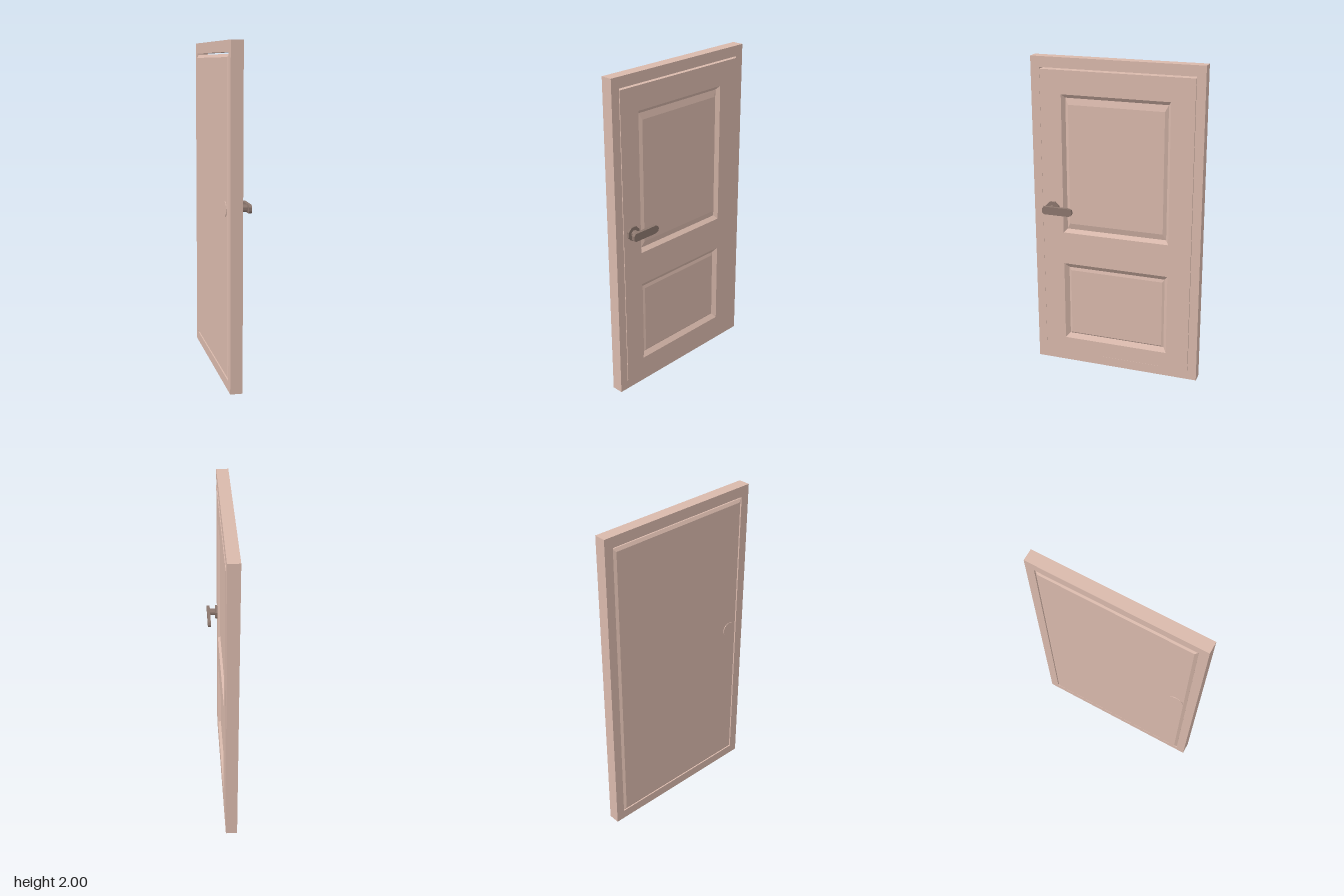
import * as THREE from 'three';

const wood = new THREE.MeshStandardMaterial({ color: 0xd9b9ac, flatShading: true });
const metal = new THREE.MeshStandardMaterial({ color: 0x8c776e, flatShading: true });

function mesh(name, geometry, material) {
  const m = new THREE.Mesh(geometry, material);
  m.name = name;
  return m;
}

// Rectangle outline as a list of corners, counter-clockwise
const rect = (u0, u1, y0, y1) => [[u0, y0], [u1, y0], [u1, y1], [u0, y1]];
const vec = (pts) => pts.map(([u, y]) => new THREE.Vector2(u, y));

// Plate with optional holes, running from depth d0 to d1
function plate(outline, holes, d0, d1) {
  const shape = new THREE.Shape(vec(outline));
  holes.forEach((h) => shape.holes.push(new THREE.Path(vec(h))));
  const g = new THREE.ExtrudeGeometry(shape, { depth: d1 - d0, bevelEnabled: false });
  return g.translate(0, 0, d0);
}

// Surface stepping through nested rectangles [u0, u1, y0, y1, depth], closed in the middle
function nestedRects(rings, flip = false) {
  const loops = rings.map(([u0, u1, y0, y1, d]) =>
    rect(u0, u1, y0, y1).map(([u, y]) => [u, y, d]));
  const pos = [];
  const quad = (a, b, c, d) => {
    const order = flip ? [a, c, b, a, d, c] : [a, b, c, a, c, d];
    order.forEach((p) => pos.push(...p));
  };
  for (let k = 0; k + 1 < loops.length; k++) {
    for (let i = 0; i < 4; i++) {
      const j = (i + 1) % 4;
      quad(loops[k][i], loops[k][j], loops[k + 1][j], loops[k + 1][i]);
    }
  }
  quad(...loops[loops.length - 1]);
  const g = new THREE.BufferGeometry();
  g.setAttribute('position', new THREE.Float32BufferAttribute(pos, 3));
  g.computeVertexNormals();
  return g;
}

// Cylinder whose axis runs through the door thickness
function disc(radius, d0, d1, sides) {
  const g = new THREE.CylinderGeometry(radius, radius, d1 - d0, sides);
  return g.rotateY(Math.PI / sides).rotateX(Math.PI / 2).translate(0, 0, (d0 + d1) / 2);
}

export function createModel() {
  const model = new THREE.Group();
  model.name = 'door';
  // Door is drawn facing +z, then turned so its panelled face looks along +x
  const door = new THREE.Group();
  door.name = 'doorAssembly';
  door.rotation.y = Math.PI / 2;
  model.add(door);

  // Surrounding frame
  door.add(mesh('frame', plate(rect(-0.537, 0.537, 0, 2),
    [rect(-0.482, 0.482, 0.06, 1.935)], -0.067, 0.005), wood));

  // Leaf with two panel openings
  const face = 0.008;
  const upper = [-0.345, 0.337, 0.9, 1.78];
  const lower = [-0.345, 0.337, 0.163, 0.69];
  door.add(mesh('leaf', plate(rect(-0.48, 0.48, 0.062, 1.925),
    [rect(...upper), rect(...lower)], -0.06, face), wood));

  // Chamfered flat back of the leaf
  const e = 0.018;
  door.add(mesh('leafBack', nestedRects([
    [-0.48, 0.48, 0.062, 1.925, -0.06],
    [-0.48 + e, 0.48 - e, 0.062 + e, 1.925 - e, -0.071],
  ], true), wood));

  // Sunken mouldings with raised fields
  door.add(mesh('upperPanel', nestedRects([
    [...upper, face],
    [-0.325, 0.318, 0.922, 1.757, -0.014],
    [-0.305, 0.298, 0.96, 1.717, -0.004],
  ]), wood));
  door.add(mesh('lowerPanel', nestedRects([
    [...lower, face],
    [-0.319, 0.314, 0.192, 0.66, -0.014],
    [-0.305, 0.3, 0.2, 0.64, -0.009],
  ]), wood));

  // Lever handle: plates on both faces, stem and lever
  const handle = new THREE.Group();
  handle.name = 'handle';
  handle.position.set(-0.412, 1.058, 0);
  handle.add(mesh('frontRosette', disc(0.045, 0.004, 0.022, 8), metal));
  handle.add(mesh('backRosette', disc(0.045, -0.075, -0.065, 16), wood));
  handle.add(mesh('stem', disc(0.022, 0.02, 0.058, 8), metal));
  const r = 0.025;
  const lever = [];
  for (let i = 0; i <= 4; i++) {
    const a = -Math.PI / 2 + (i * Math.PI) / 4;
    lever.push([0.125 + r * Math.cos(a), r * Math.sin(a)]);
  }
  lever.push([-0.035, r], [-0.049, 0.012], [-0.049, -0.012], [-0.035, -r]);
  handle.add(mesh('lever', plate(lever, [], 0.056, 0.075), metal));
  door.add(handle);

  return model;
}
